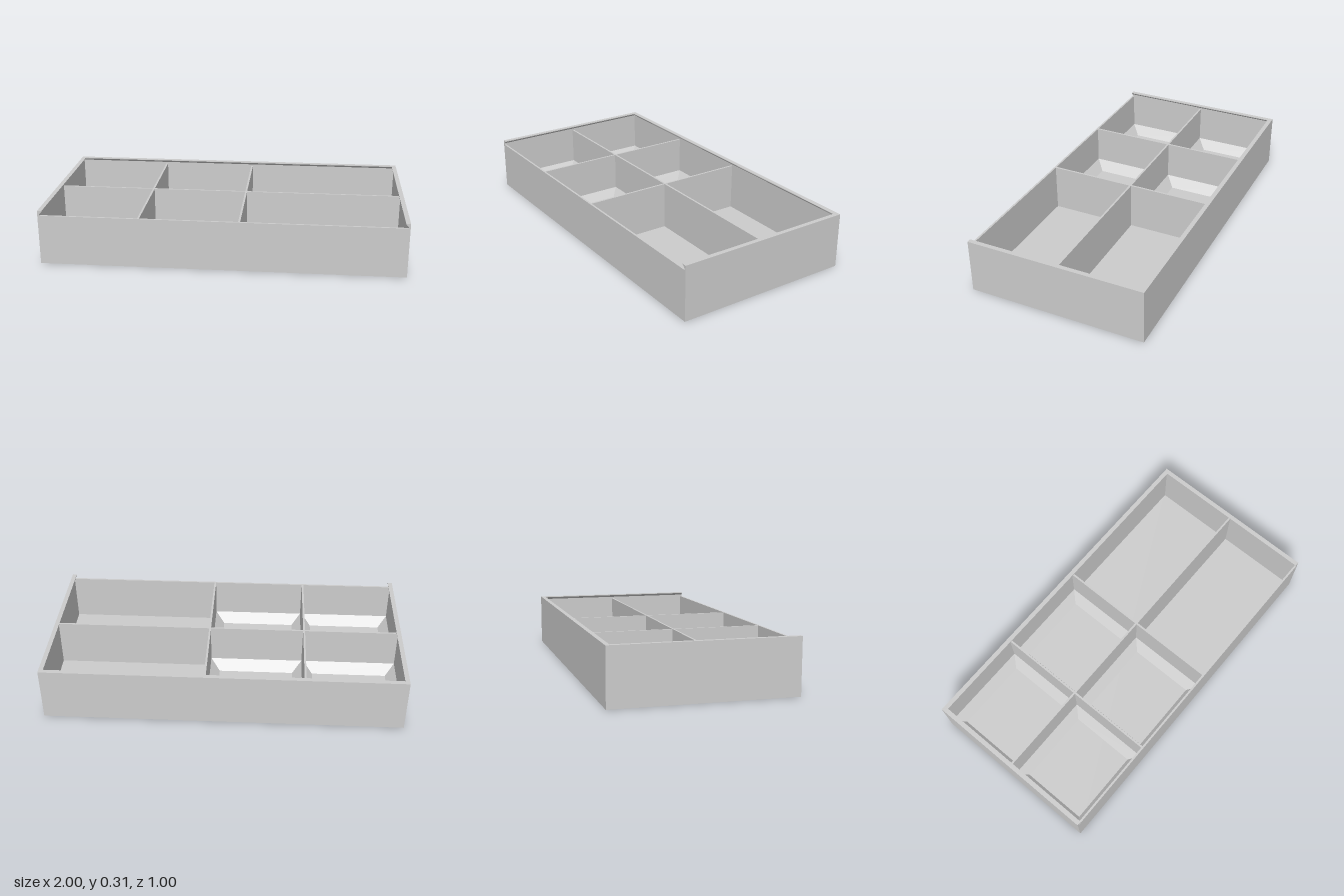
import * as THREE from 'three';

const H = 0.308;      // full height
const T = 0.011;      // wall, divider and floor thickness
const RIM = 0.281;    // top of front wall and dividers
const BEVEL = 0.053;  // 45 degree fillet at the floor of the small trays

export function createModel() {
  const group = new THREE.Group();
  const grey = new THREE.MeshStandardMaterial({ color: 0xcccccc });
  grey.name = 'light grey';

  const add = (name, geometry) => {
    const mesh = new THREE.Mesh(geometry, grey);
    mesh.name = name;
    group.add(mesh);
    return mesh;
  };
  const box = (name, x0, x1, y0, y1, z0, z1) =>
    add(name, new THREE.BoxGeometry(x1 - x0, y1 - y0, z1 - z0)
      .translate((x0 + x1) / 2, (y0 + y1) / 2, (z0 + z1) / 2));

  // Wall with an undercut lip that holds a sliding lid; outer face at u = 0
  const wall = (length) => {
    const profile = new THREE.Shape([
      [0, 0], [T, 0], [T, 0.291], [0.025, 0.304], [0.025, H], [0, H],
    ].map(([u, y]) => new THREE.Vector2(u, y)));
    return new THREE.ExtrudeGeometry(profile, { depth: length, bevelEnabled: false })
      .translate(0, 0, -length / 2);
  };
  add('rightWall', wall(1).translate(-1, 0, 0));
  add('leftWall', wall(1).rotateY(Math.PI).translate(1, 0, 0));
  add('backWall', wall(2).rotateY(-Math.PI / 2).translate(0, 0, -0.5));

  // Floor and the lower, open-topped front wall
  box('floor', -1, 1, 0, T, -0.5, 0.5);
  box('frontWall', -1, 1, 0, RIM, 0.5 - T, 0.5);

  // Dividers
  const cross = [-0.4475, 0.099];
  box('longDivider', -1 + T, 1 - T, T, RIM, -T / 2, T / 2);
  for (const x of cross) box('crossDivider', x - T / 2, x + T / 2, T, RIM, -0.5 + T, 0.5 - T);

  // Sloped fillets round the floor of each small tray
  const fillet = (x0, x1, z0, z1) => {
    const loop = (inset, y) => [
      [x0 + inset, y, z0 + inset], [x0 + inset, y, z1 - inset],
      [x1 - inset, y, z1 - inset], [x1 - inset, y, z0 + inset],
    ];
    const top = loop(0, T + BEVEL), low = loop(BEVEL, T);
    const points = [];
    for (let i = 0; i < 4; i++) {
      const j = (i + 1) % 4;
      points.push(top[i], top[j], low[j], top[i], low[j], low[i]);
    }
    const geometry = new THREE.BufferGeometry();
    geometry.setAttribute('position', new THREE.Float32BufferAttribute(points.flat(), 3));
    geometry.computeVertexNormals();
    return geometry;
  };
  const columns = [[-1 + T, cross[0] - T / 2], [cross[0] + T / 2, cross[1] - T / 2]];
  const rows = [[-0.5 + T, -T / 2], [T / 2, 0.5 - T]];
  for (const [x0, x1] of columns) {
    for (const [z0, z1] of rows) add('trayFillet', fillet(x0, x1, z0, z1));
  }

  return group;
}
